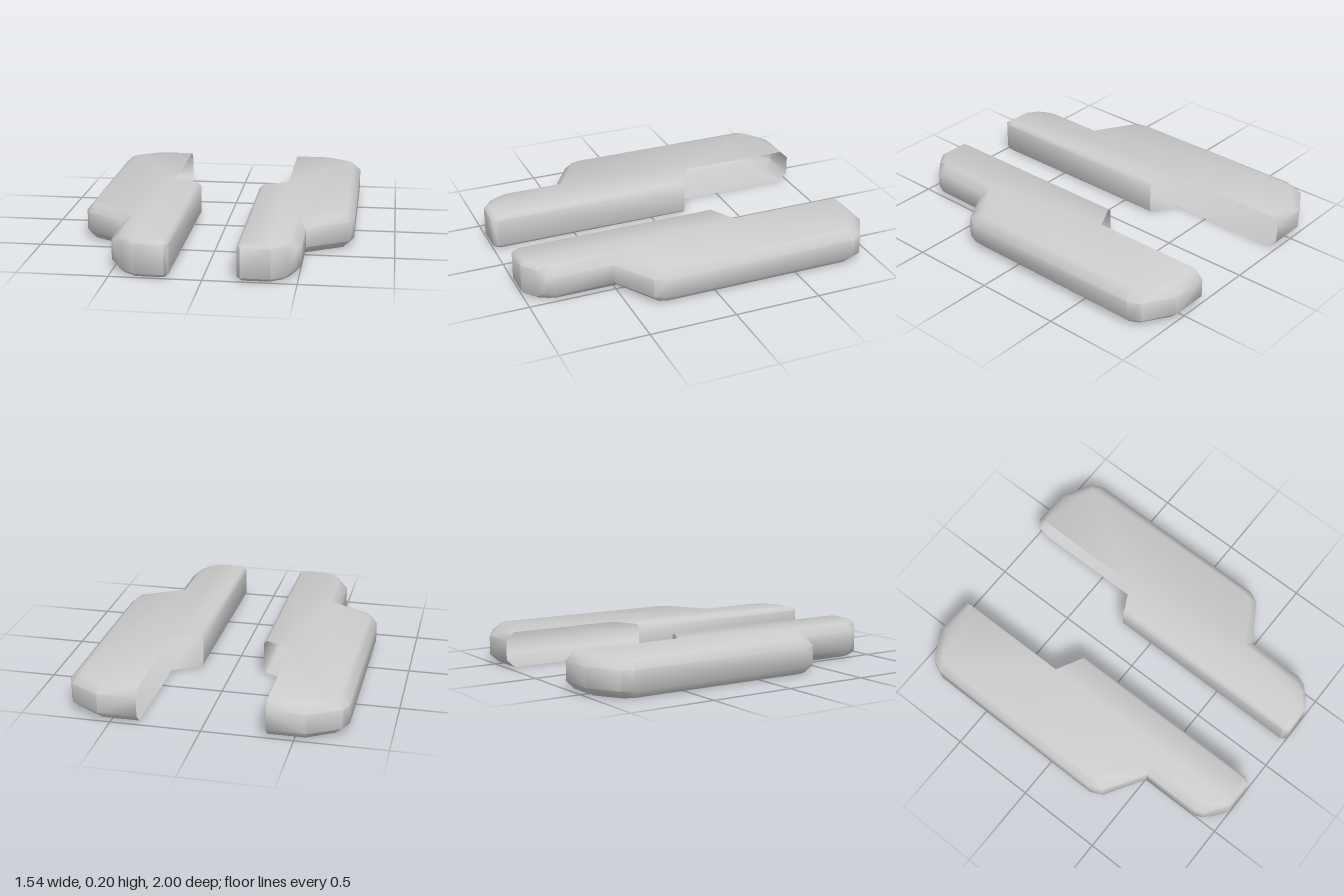
import * as THREE from 'three';
import { toCreasedNormals } from 'three/addons/utils/BufferGeometryUtils.js';

const HEIGHT = 0.205;

// Rim of one plate: wall x, wall z, face x, face z, bevel height.
// Runs forward along the inner wall, round the nose, and back along the outer side.
const RIM = [
  [0.18, -0.21, 0.20, -0.21, 0.02],
  [0.18, 0.97, 0.20, 0.96, 0.02],
  [0.20, 1.00, 0.21, 0.975, 0.02],
  [0.36, 1.00, 0.355, 0.975, 0.02],
  [0.44, 0.94, 0.42, 0.925, 0.02],
  [0.49, 0.90, 0.45, 0.87, 0.055],
  [0.51, 0.85, 0.46, 0.83, 0.047],
  [0.51, 0.51, 0.46, 0.48, 0.047],
  [0.74, 0.37, 0.71, 0.33, 0.047],
  [0.77, 0.30, 0.725, 0.28, 0.047],
  [0.77, -0.83, 0.725, -0.81, 0.047],
  [0.74, -0.90, 0.70, -0.86, 0.047],
  [0.57, -1.00, 0.555, -0.95, 0.047],
  [0.35, -1.00, 0.35, -0.95, 0.047],
];
const NOTCH = [0.35, -0.29]; // inner corner of the open rear cut-out

function plateGeometry() {
  const positions = [];
  const tri = (...corners) => corners.forEach((c) => positions.push(...c));

  // Four stacked rails: bottom face, lower wall, upper wall, top face
  const rails = [
    RIM.map(([, , x, z]) => [x, 0, z]),
    RIM.map(([x, z, , , b]) => [x, b, z]),
    RIM.map(([x, z, , , b]) => [x, HEIGHT - b, z]),
    RIM.map(([, , x, z]) => [x, HEIGHT, z]),
  ];
  for (let r = 0; r < 3; r++) {
    for (let i = 0; i < RIM.length - 1; i++) {
      const a = rails[r][i], b = rails[r][i + 1];
      const c = rails[r + 1][i + 1], d = rails[r + 1][i];
      tri(a, b, c);
      tri(a, c, d);
    }
  }

  // Flat top and bottom; the cut-out edge between them stays open
  const face = [...RIM.map(([, , x, z]) => [x, z]), NOTCH];
  const contour = face.map(([x, z]) => new THREE.Vector2(x, -z));
  const at = (i, y) => [face[i][0], y, face[i][1]];
  for (const [a, b, c] of THREE.ShapeUtils.triangulateShape(contour, [])) {
    tri(at(a, HEIGHT), at(b, HEIGHT), at(c, HEIGHT));
    tri(at(c, 0), at(b, 0), at(a, 0));
  }

  const geometry = new THREE.BufferGeometry();
  geometry.setAttribute('position', new THREE.Float32BufferAttribute(positions, 3));
  geometry.computeVertexNormals();
  return toCreasedNormals(geometry, 0.9);
}

export function createModel() {
  const group = new THREE.Group();
  group.name = 'sidePlates';
  const material = new THREE.MeshStandardMaterial({ color: 0xcccccc, side: THREE.DoubleSide });
  const geometry = plateGeometry();

  // Mirrored pair
  for (const [name, side] of [['leftPlate', 1], ['rightPlate', -1]]) {
    const plate = new THREE.Mesh(geometry, material);
    plate.name = name;
    plate.scale.x = side;
    group.add(plate);
  }
  return group;
}
